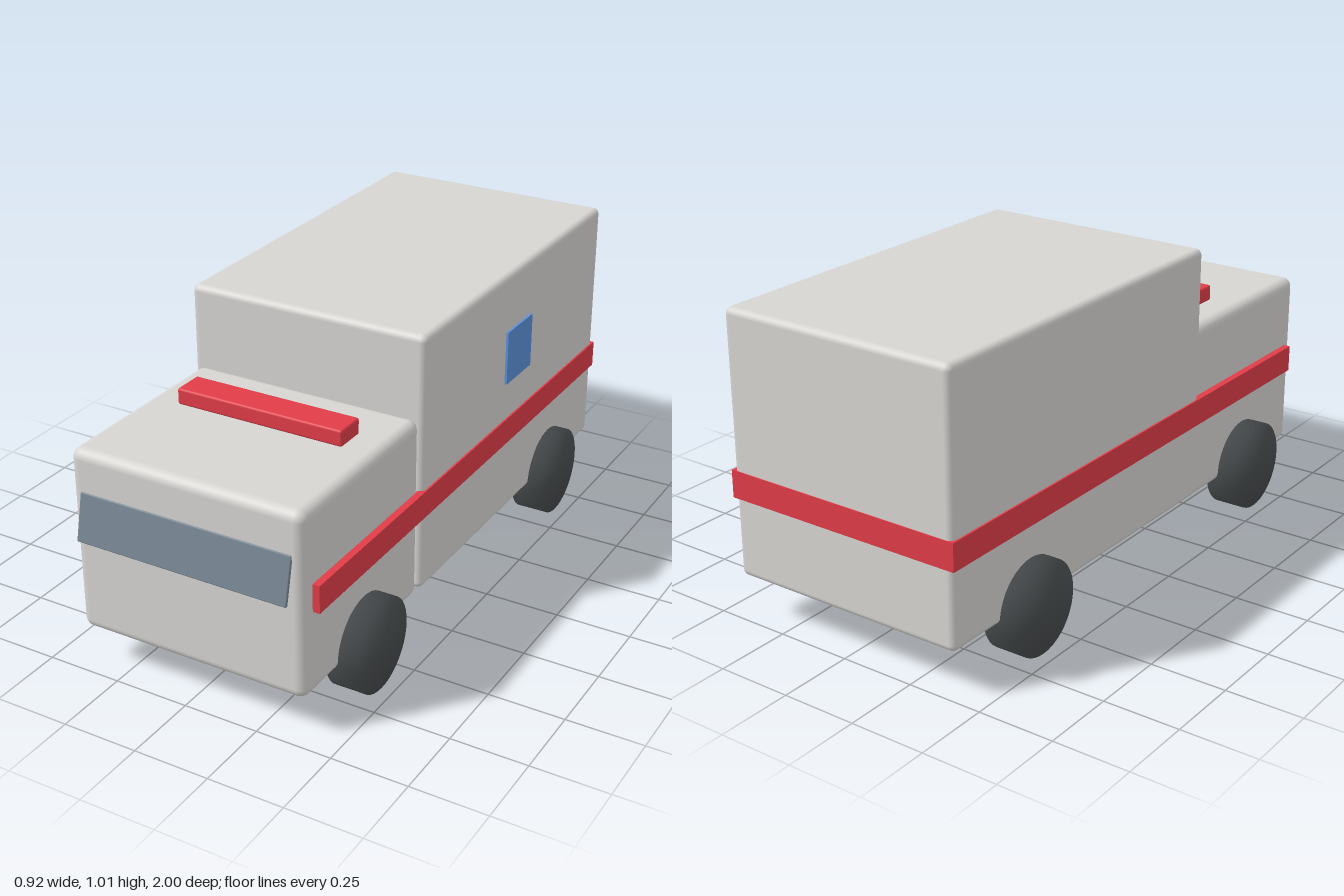
import * as THREE from 'three';
import { RoundedBoxGeometry } from 'three/addons/geometries/RoundedBoxGeometry.js';
import { mergeVertices } from 'three/addons/utils/BufferGeometryUtils.js';

function material(name, color) {
  const m = new THREE.MeshStandardMaterial({ color });
  m.name = name;
  return m;
}

export function createModel() {
  const model = new THREE.Group();
  model.name = 'boxVan';

  const paint = material('body grey', 0xd6d5d2);
  const red = material('signal red', 0xe03c48);
  const blue = material('panel blue', 0x5c90da);
  const glass = material('windscreen grey', 0x778692);
  const rubber = material('tyre black', 0x4a4e50);

  function add(name, geometry, mat, x, y, z) {
    const mesh = new THREE.Mesh(geometry, mat);
    mesh.name = name;
    mesh.position.set(x, y, z);
    model.add(mesh);
    return mesh;
  }

  // Box given by its extents, with optional rounded edges
  function block(name, mat, [x0, x1], [y0, y1], [z0, z1], radius = 0) {
    const size = [x1 - x0, y1 - y0, z1 - z0];
    const geometry = radius
      ? new RoundedBoxGeometry(...size, 4, radius)
      : new THREE.BoxGeometry(...size);
    return add(name, geometry, mat, (x0 + x1) / 2, (y0 + y1) / 2, (z0 + z1) / 2);
  }

  // Body
  block('cargoBox', paint, [-0.413, 0.413], [0.15, 1.012], [-0.997, 0.302], 0.022);
  block('cab', paint, [-0.396, 0.396], [0.13, 0.741], [0.29, 0.966], 0.033);

  // Roof light bar
  block('lightBar', red, [-0.288, 0.288], [0.741, 0.795], [0.468, 0.573], 0.008);

  // Stripe along both sides and across the back
  block('leftStripe', red, [0.395, 0.419], [0.41, 0.5], [-1, 0.917]);
  block('rightStripe', red, [-0.419, -0.395], [0.41, 0.5], [-1, 0.917]);
  block('rearStripe', red, [-0.4, 0.4], [0.41, 0.5], [-1, -0.99]);

  // Sloping windscreen
  const windscreen = add('windscreen',
    new RoundedBoxGeometry(0.722, 0.154, 0.012, 2, 0.004), glass, 0, 0.531, 0.98);
  windscreen.rotation.x = -0.22;

  // Panel on the left side only
  block('sidePanel', blue, [0.412, 0.421], [0.634, 0.818], [-0.438, -0.257]);

  // Wheels, with shading that runs smoothly over the rims
  let wheel = new THREE.CylinderGeometry(0.152, 0.152, 0.106, 40).rotateZ(Math.PI / 2);
  wheel.deleteAttribute('normal');
  wheel.deleteAttribute('uv');
  wheel = mergeVertices(wheel, 1e-4);
  wheel.computeVertexNormals();
  for (const [end, z] of [['front', 0.63], ['rear', -0.635]]) {
    add(end + 'LeftWheel', wheel, rubber, 0.406, 0.152, z);
    add(end + 'RightWheel', wheel, rubber, -0.406, 0.152, z);
  }

  return model;
}
